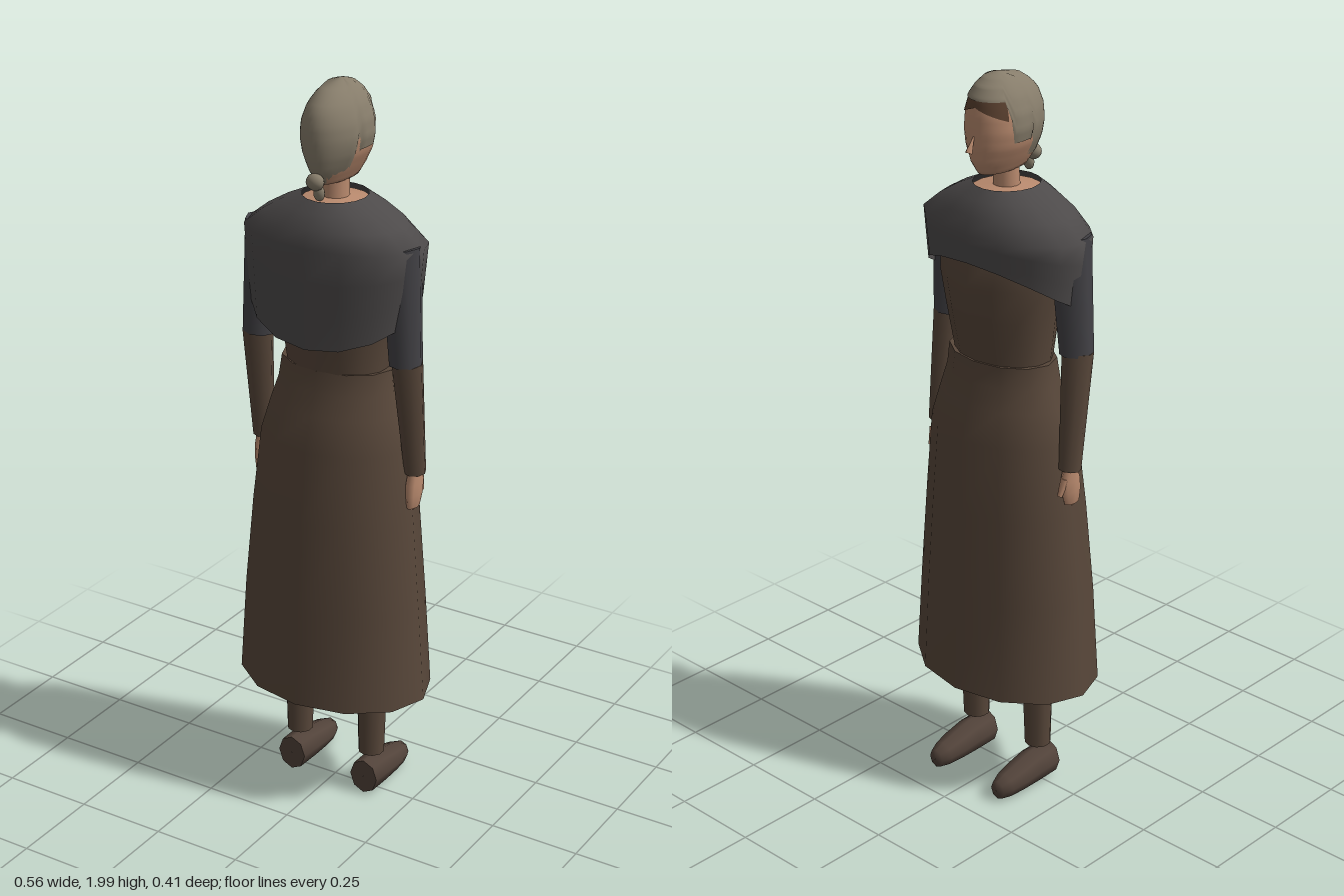
import * as THREE from 'three';

const mat = (name, hex) => {
  const m = new THREE.MeshStandardMaterial({ color: hex, side: THREE.DoubleSide });
  m.name = name;
  return m;
};

// Grid surface from fn(u, v) -> [x, y, z]; closed joins the last column to the first
function surface(fn, nu, nv, closed = true) {
  const pos = [], idx = [], cols = closed ? nu : nu + 1;
  for (let j = 0; j <= nv; j++)
    for (let i = 0; i < cols; i++) pos.push(...fn(i / nu, j / nv));
  for (let j = 0; j < nv; j++)
    for (let i = 0; i < nu; i++) {
      const a = j * cols + i, b = j * cols + (i + 1) % cols;
      idx.push(a, a + cols, b, b, a + cols, b + cols);
    }
  const g = new THREE.BufferGeometry();
  g.setAttribute('position', new THREE.Float32BufferAttribute(pos, 3));
  g.setIndex(idx);
  g.computeVertexNormals();
  return g;
}

// Stack of elliptical rings, top first: [y, rx, rz, centre z]; a repeated ring makes a sharp edge
const loft = (rings, sides) => surface((u, v) => {
  const [y, rx, rz, cz = 0] = rings[Math.round(v * (rings.length - 1))];
  const a = u * Math.PI * 2;
  return [Math.sin(a) * rx, y, cz + Math.cos(a) * rz];
}, sides, rings.length - 1);

// Head profile, top first: [y, half width, front depth, back depth] about z = -0.03
const HEAD = [
  [1.995, 0.001, 0.001, 0.001], [1.985, 0.032, 0.036, 0.06], [1.965, 0.05, 0.062, 0.09],
  [1.94, 0.066, 0.078, 0.118], [1.9, 0.08, 0.086, 0.132], [1.86, 0.083, 0.089, 0.135],
  [1.82, 0.074, 0.089, 0.132], [1.78, 0.053, 0.084, 0.122], [1.745, 0.032, 0.064, 0.095],
  [1.738, 0.001, 0.001, 0.001],
];
function headPoint(a, y, s) {
  let k = 0;
  while (k < HEAD.length - 2 && y < HEAD[k + 1][0]) k++;
  const p = HEAD[k], q = HEAD[k + 1];
  const t = THREE.MathUtils.clamp((p[0] - y) / (p[0] - q[0]), 0, 1);
  const r = [1, 2, 3].map(i => THREE.MathUtils.lerp(p[i], q[i], t) * s);
  const c = Math.cos(a);
  return [Math.sin(a) * r[0], y + (s - 1) * 0.12, -0.03 + c * (c > 0 ? r[2] : r[1])];
}

// Hairline height by angle from the back of the head (0) to the forehead (PI)
function hairline(a) {
  const d = Math.abs(Math.atan2(Math.sin(a), Math.cos(a)));
  if (d < 1.2) return 1.748;
  if (d < 1.25) return 1.79;
  if (d < 1.85) return 1.83;
  if (d < 2.05) return 1.89;
  return 1.935;
}

export function createModel() {
  const root = new THREE.Group();
  root.name = 'womanWithShawl';
  const brown = mat('brownDress', 0x58473a);
  const shawlGrey = mat('greyShawl', 0x4d4a4a);
  const sleeveGrey = mat('darkSleeve', 0x434246);
  const skin = mat('skin', 0xb98a6e);
  const hairGrey = mat('greyHair', 0x877d6b);
  const browBrown = mat('darkBrow', 0x5a402f);
  const shoe = mat('shoeBrown', 0x52433a);

  const add = (name, geo, m, parent = root) => {
    const mesh = new THREE.Mesh(geo, m);
    mesh.name = name;
    parent.add(mesh);
    return mesh;
  };
  // Tapered limb between two points
  const limb = (name, a, b, ra, rb, m, sides = 8) => {
    const A = new THREE.Vector3(...a), B = new THREE.Vector3(...b);
    const mesh = add(name, new THREE.CylinderGeometry(ra, rb, A.distanceTo(B), sides), m);
    mesh.position.copy(A).add(B).multiplyScalar(0.5);
    mesh.quaternion.setFromUnitVectors(new THREE.Vector3(0, 1, 0), A.sub(B).normalize());
  };
  const ball = (name, r, p, s, m) => {
    const mesh = add(name, new THREE.SphereGeometry(r, 10, 8), m);
    mesh.position.set(...p);
    mesh.scale.set(...s);
  };

  // Dress
  add('skirt', loft([
    [1.255, 0.13, 0.095, -0.013], [1.258, 0.16, 0.11, -0.015], [1.258, 0.16, 0.11, -0.015],
    [1.2, 0.168, 0.117, -0.013], [1.14, 0.188, 0.135, -0.011], [1.05, 0.215, 0.16, -0.01],
    [0.85, 0.236, 0.178, -0.004], [0.6, 0.258, 0.195, 0], [0.33, 0.278, 0.205, 0],
  ], 12), brown);
  add('bodice', loft([
    [1.62, 0.15, 0.1, 0], [1.56, 0.19, 0.13, -0.005], [1.47, 0.178, 0.138, -0.014],
    [1.38, 0.16, 0.127, -0.015], [1.24, 0.142, 0.103, -0.011],
  ], 14), brown);

  // Shawl: high hem at the chest, falling to a point at the back
  const shawlRings = [[1.71, 0.085, 0.088], [1.685, 0.14, 0.113], [1.65, 0.2, 0.137], [1.605, 0.258, 0.152]];
  add('shawl', surface((u, v) => {
    const a = u * Math.PI * 2, c = Math.cos(a), row = Math.round(v * 6);
    let [y, rx, rz] = shawlRings[Math.min(row, 3)];
    if (row > 3) {
      const t = (row - 3) / 3;
      const hem = c > 0 ? 1.43 - 0.095 * Math.pow(c, 1.4) : 1.43 + 0.1 * Math.pow(-c, 1.2);
      y += (hem - y) * t;
      rx -= 0.015 * t;
      rz -= 0.004 * t;
    }
    return [Math.sin(a) * rx, y, c * rz];
  }, 16, 6), shawlGrey);
  add('neckBase', loft([[1.705, 0.03, 0.03], [1.695, 0.088, 0.09]], 16), skin);
  limb('neck', [0, 1.79, -0.005], [0, 1.68, 0], 0.033, 0.036, skin, 12);

  // Head, hair and face
  add('head', surface((u, v) => headPoint(u * Math.PI * 2, 1.995 - v * 0.257, 1), 28, 24), skin);
  add('hair', surface((u, v) => {
    const a = u * Math.PI * 2;
    return headPoint(a, 1.995 - v * (1.995 - hairline(a)), 1.04);
  }, 48, 16), hairGrey);
  add('foreheadBand', surface((u, v) =>
    headPoint(Math.PI + (u - 0.5) * 2.2, 1.942 - v * (0.022 + 0.03 * Math.abs(u - 0.5) * 2), 1.02),
  14, 3, false), browBrown);
  const nose = add('nose', new THREE.ConeGeometry(0.012, 0.05, 4), skin);
  nose.position.set(0, 1.835, -0.126);
  nose.rotation.x = 0.45;
  ball('bunUpper', 0.022, [0.002, 1.764, 0.098], [1.15, 1, 0.85], hairGrey);
  ball('bunLower', 0.016, [0.01, 1.735, 0.092], [1, 1.3, 0.7], hairGrey);

  for (const s of [1, -1]) {
    const side = s > 0 ? 'left' : 'right';
    // Arm and hand
    limb(side + 'UpperSleeve', [s * 0.2, 1.61, 0.015], [s * 0.222, 1.3, 0.02], 0.054, 0.044, sleeveGrey);
    limb(side + 'LowerSleeve', [s * 0.226, 1.305, 0.02], [s * 0.234, 0.99, -0.014], 0.041, 0.029, brown);
    const hand = add(side + 'Hand', loft([
      [1.0, 0.016, 0.02, -0.012], [0.96, 0.018, 0.034, -0.012], [0.93, 0.017, 0.034, -0.01],
      [0.895, 0.013, 0.026, -0.006], [0.885, 0.001, 0.001, -0.006],
    ], 8), skin);
    hand.position.x = s * 0.234;
    limb(side + 'Thumb', [s * 0.236, 0.97, -0.035], [s * 0.232, 0.925, -0.05], 0.011, 0.007, skin, 6);

    // Stocking leg and shoe
    limb(side + 'Leg', [s * 0.115, 0.62, -0.005], [s * 0.116, 0.12, 0], 0.05, 0.036, brown, 10);
    const foot = loft([
      [0.167, 0.001, 0.001, 0.036], [0.162, 0.024, 0.027, 0.036], [0.135, 0.036, 0.034, 0.04],
      [0.09, 0.043, 0.04, 0.046], [0.03, 0.045, 0.048, 0.053], [-0.043, 0.042, 0.05, 0.055],
      [-0.043, 0.042, 0.05, 0.055], [-0.043, 0.001, 0.001, 0.055],
    ], 8);
    foot.rotateX(-Math.PI / 2);
    add(side + 'Shoe', foot, shoe).position.x = s * 0.117;
  }
  return root;
}
